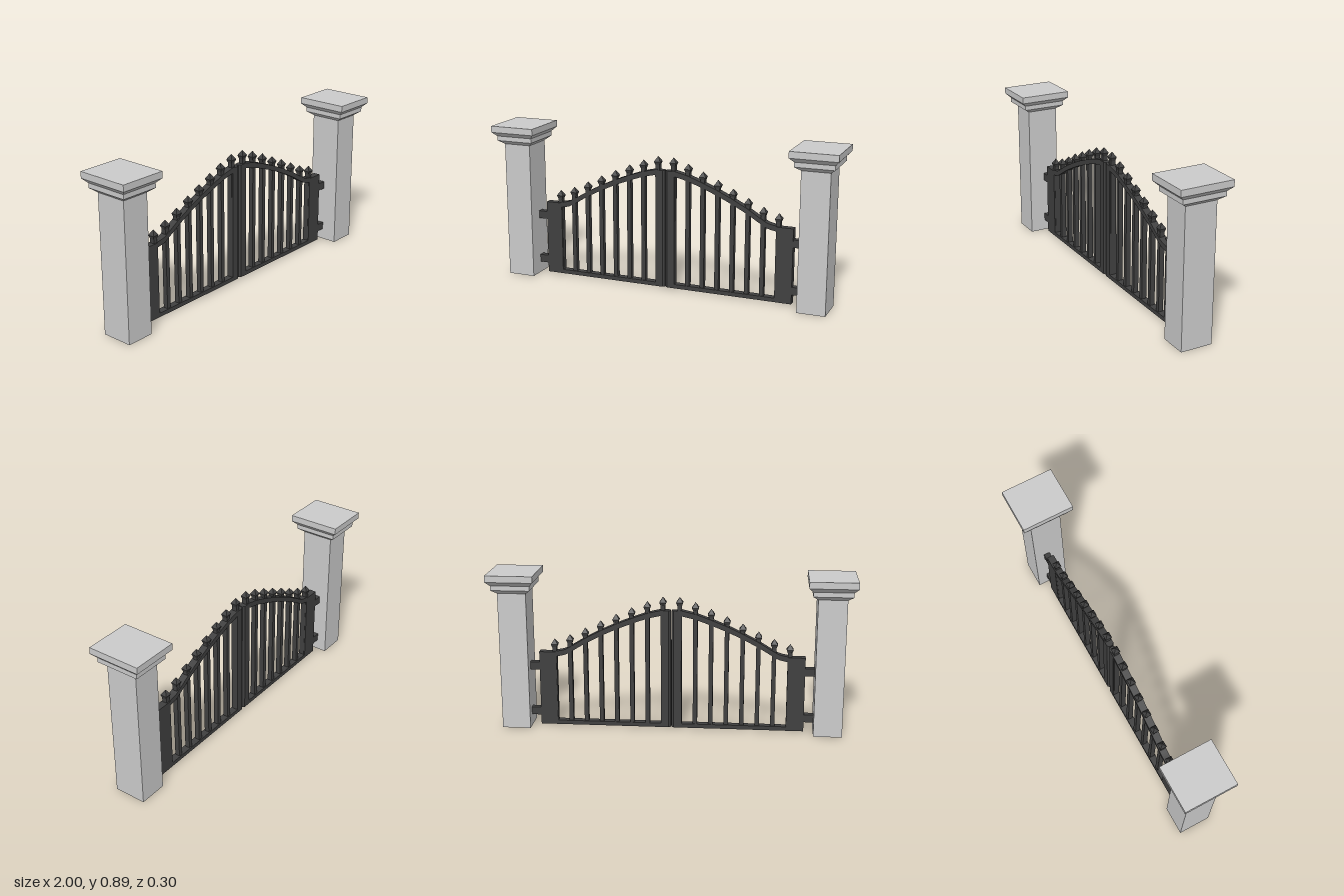
import * as THREE from 'three';

const stone = new THREE.MeshStandardMaterial({ color: 0xcccccc, flatShading: true });
const iron = new THREE.MeshStandardMaterial({ color: 0x404040, flatShading: true });
const DEPTH = 0.04;

function add(parent, name, geometry, material, x = 0, y = 0, z = 0) {
  const mesh = new THREE.Mesh(geometry, material);
  mesh.name = name;
  mesh.position.set(x, y, z);
  parent.add(mesh);
  return mesh;
}

// Box given by its x and y limits, centred on z = 0
function bar(parent, name, x0, x1, y0, y1, depth) {
  return add(parent, name, new THREE.BoxGeometry(x1 - x0, y1 - y0, depth), iron, (x0 + x1) / 2, (y0 + y1) / 2);
}

// Four-sided turned profile; each pair is [half width, height]
function squareLathe(profile) {
  const points = profile.map(([r, y]) => new THREE.Vector2(r * Math.SQRT2, y));
  return new THREE.LatheGeometry(points, 4, Math.PI / 4);
}

// Stone pillar with a stepped cap
function makePillar(name, x) {
  const geometry = squareLathe([
    [0, 0], [0.09, 0], [0.09, 0.777], [0.123, 0.8], [0.123, 0.826],
    [0.149, 0.85], [0.149, 0.886], [0, 0.886],
  ]);
  geometry.scale(0.876, 1, 1);
  const pillar = new THREE.Group();
  pillar.name = name;
  pillar.position.x = x;
  add(pillar, 'pillarBody', geometry, stone);
  return pillar;
}

// One gate leaf, hinged at x = -0.74 and meeting the other leaf at x = 0
function makeLeaf(name) {
  const leaf = new THREE.Group();
  leaf.name = name;

  bar(leaf, 'hingeStile', -0.738, -0.642, 0.01, 0.435, DEPTH);
  bar(leaf, 'bottomRail', -0.65, -0.02, 0.01, 0.033, DEPTH);
  for (const y of [0.085, 0.352]) bar(leaf, 'hinge', -0.8, -0.73, y - 0.022, y + 0.022, 0.035);

  // Meeting stile with chamfered inner edge
  const h = DEPTH / 2;
  const section = new THREE.Shape([
    new THREE.Vector2(-0.056, -h), new THREE.Vector2(-0.014, -h), new THREE.Vector2(-0.002, -h / 2),
    new THREE.Vector2(-0.002, h / 2), new THREE.Vector2(-0.014, h), new THREE.Vector2(-0.056, h),
  ]);
  const stile = new THREE.ExtrudeGeometry(section, { depth: 0.675, bevelEnabled: false });
  stile.rotateX(-Math.PI / 2);
  add(leaf, 'meetingStile', stile, iron, 0, 0.01);

  // Curved top rail
  const curve = new THREE.SplineCurve([
    [-0.645, 0.425], [-0.6, 0.434], [-0.565, 0.451], [-0.48, 0.502], [-0.392, 0.548],
    [-0.305, 0.588], [-0.22, 0.622], [-0.132, 0.653], [-0.045, 0.674],
  ].map(([x, y]) => new THREE.Vector2(x, y)));
  const centre = curve.getPoints(32);
  const edge = (dy) => centre.map((p) => new THREE.Vector2(p.x, p.y + dy));
  const railShape = new THREE.Shape([...edge(-0.015), ...edge(0.015).reverse()]);
  const rail = new THREE.ExtrudeGeometry(railShape, { depth: DEPTH, bevelEnabled: false });
  add(leaf, 'topRail', rail, iron, 0, 0, -h);

  // Upright pickets with pointed finials
  const tips = [0.76, 0.733, 0.697, 0.658, 0.618, 0.575, 0.535, 0.508];
  const finial = squareLathe([[0, -0.05], [0.012, -0.05], [0.019, -0.03], [0, 0]]);
  tips.forEach((tip, i) => {
    const x = -0.046 - i * 0.0866;
    bar(leaf, 'picket', x - 0.012, x + 0.012, 0.015, tip - 0.045, 0.028);
    add(leaf, 'finial', finial, iron, x, tip);
  });
  return leaf;
}

export function createModel() {
  const model = new THREE.Group();
  model.name = 'pillaredGate';
  model.add(makePillar('rightPillar', -0.87), makePillar('leftPillar', 0.87));

  const gate = new THREE.Group();
  gate.name = 'gate';
  gate.position.z = -0.017;
  const right = makeLeaf('rightLeaf');
  const left = makeLeaf('leftLeaf');
  left.rotation.y = Math.PI;
  gate.add(right, left);
  model.add(gate);
  return model;
}
